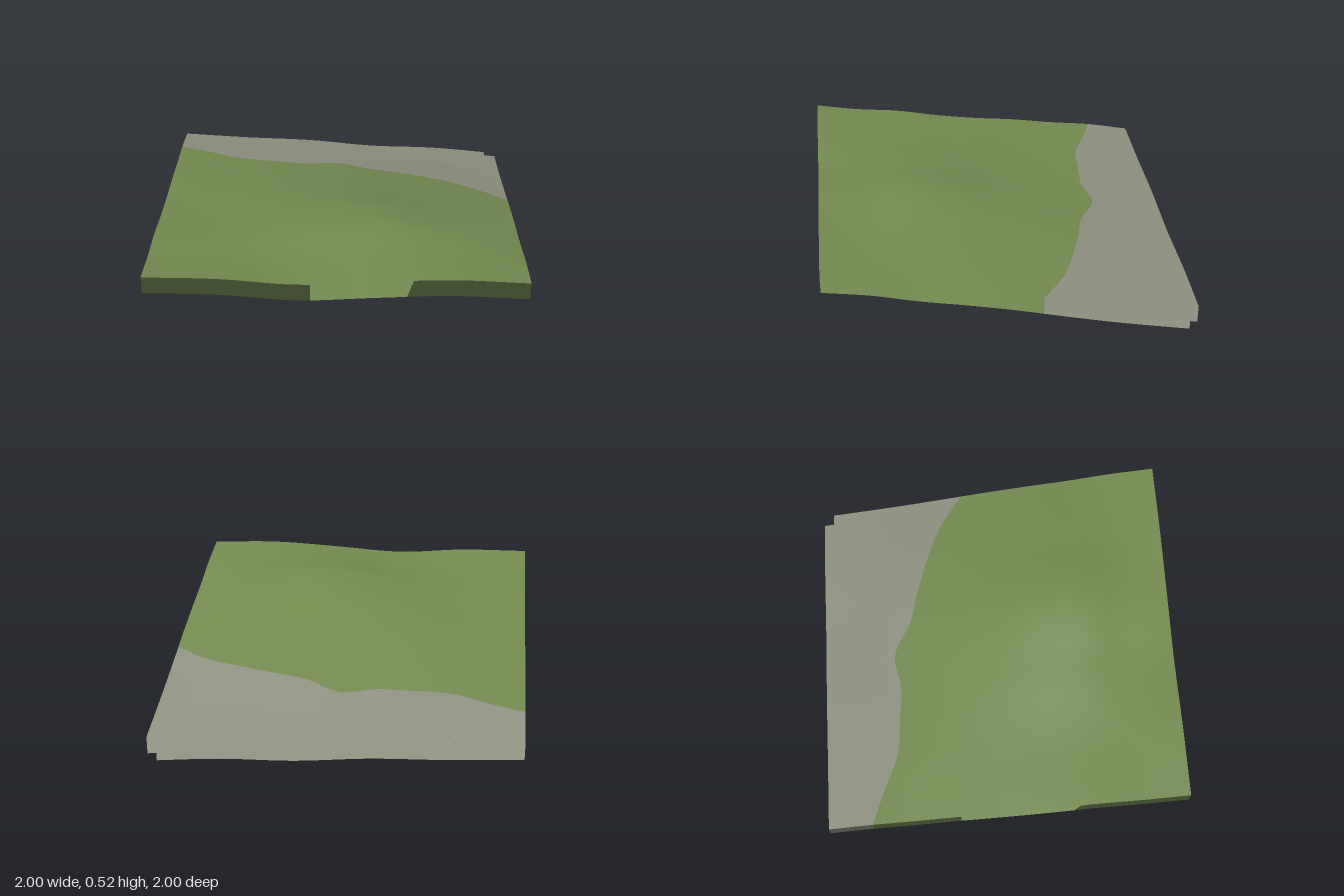
import * as THREE from 'three';

// Control heights: rows run from back (z = -1) to front (z = 1), columns from x = -1 to x = 1
const HEIGHTS = [
  [0.225, 0.200, 0.183, 0.145, 0.132, 0.095],
  [0.272, 0.250, 0.230, 0.200, 0.175, 0.140],
  [0.300, 0.295, 0.278, 0.267, 0.240, 0.188],
  [0.335, 0.335, 0.340, 0.335, 0.300, 0.243],
  [0.360, 0.375, 0.400, 0.407, 0.360, 0.300],
  [0.395, 0.405, 0.450, 0.482, 0.420, 0.350],
  [0.440, 0.435, 0.475, 0.523, 0.465, 0.395],
  [0.465, 0.460, 0.463, 0.503, 0.480, 0.450],
  [0.505, 0.498, 0.467, 0.487, 0.503, 0.487],
];
// Where rock gives way to grass: z at x = -1, -0.8 ... 1
const BORDER = [-0.75, -0.675, -0.595, -0.575, -0.56, -0.59, -0.49, -0.435, -0.37, -0.285, -0.15];
const SKIRT = 0.1;
const NOTCH_X = 0.935, NOTCH_Z = -0.94;

// Smooth interpolation through evenly spaced values, u from -1 to 1
function spline(values, u) {
  const n = values.length - 1;
  const t = THREE.MathUtils.clamp((u + 1) / 2, 0, 1) * n;
  const i = Math.min(Math.floor(t), n - 1), f = t - i;
  const b = values[i], c = values[i + 1];
  const a = i > 0 ? values[i - 1] : 2 * b - c;
  const d = i < n - 1 ? values[i + 2] : 2 * c - b;
  return b + 0.5 * f * (c - a + f * (2 * a - 5 * b + 4 * c - d + f * (3 * (b - c) + d - a)));
}

const height = (x, z) => spline(HEIGHTS.map(row => spline(row, x)), z);
const border = x => spline(BORDER, x);

function groundNormal(x, z) {
  const e = 0.02;
  const x0 = Math.max(x - e, -1), x1 = Math.min(x + e, 1);
  const z0 = Math.max(z - e, -1), z1 = Math.min(z + e, 1);
  return new THREE.Vector3(
    -(height(x1, z) - height(x0, z)) / (x1 - x0), 1,
    -(height(x, z1) - height(x, z0)) / (z1 - z0)).normalize();
}

// Grid of (columns + 1) x (rows + 1) points; point(u, v) gives [x, z, drop below ground]
function gridMesh(name, material, columns, rows, point) {
  const positions = [], normals = [], index = [];
  for (let i = 0; i <= columns; i++) {
    for (let j = 0; j <= rows; j++) {
      const [x, z, drop] = point(i / columns, j / rows);
      positions.push(x, height(x, z) - drop, z);
      normals.push(...groundNormal(x, z).toArray());
      if (i < columns && j < rows) {
        const a = i * (rows + 1) + j, b = a + 1, c = a + rows + 1, d = c + 1;
        index.push(a, b, c, b, d, c);
      }
    }
  }
  const geometry = new THREE.BufferGeometry();
  geometry.setAttribute('position', new THREE.Float32BufferAttribute(positions, 3));
  geometry.setAttribute('normal', new THREE.Float32BufferAttribute(normals, 3));
  geometry.setIndex(index);
  const mesh = new THREE.Mesh(geometry, material);
  mesh.name = name;
  return mesh;
}

export function createModel() {
  const grass = new THREE.MeshStandardMaterial({ color: 0x738a50, side: THREE.DoubleSide });
  grass.name = 'grass green';
  const rock = new THREE.MeshStandardMaterial({ color: 0x8e9080, side: THREE.DoubleSide });
  rock.name = 'rock grey';

  const group = new THREE.Group();
  group.name = 'terrainTile';
  const lerp = THREE.MathUtils.lerp;

  // Ground surface between two z limits
  const sheet = (name, material, x0, x1, back, front, columns, rows) =>
    group.add(gridMesh(name, material, columns, rows, (u, v) => {
      const x = lerp(x0, x1, u);
      return [x, lerp(back(x), front(x), v), 0];
    }));
  sheet('grassGround', grass, -1, 1, border, () => 1, 60, 48);
  sheet('rockGround', rock, -1, NOTCH_X, () => -1, border, 58, 20);
  sheet('rockCorner', rock, NOTCH_X, 1, () => NOTCH_Z, border, 2, 20);

  // Hanging edge below the ground, shaded like the ground; runs counter-clockwise seen from above
  const skirt = (name, material, x0, z0, x1, z1) => {
    const steps = Math.max(1, Math.ceil(Math.hypot(x1 - x0, z1 - z0) * 30));
    group.add(gridMesh(name, material, steps, 1, (u, v) =>
      [lerp(x0, x1, u), lerp(z0, z1, u), v * SKIRT]));
  };
  const left = border(1), right = border(-1);
  skirt('frontSkirt', grass, -1, 1, 1, 1);
  skirt('leftGrassSkirt', grass, 1, 1, 1, left);
  skirt('leftRockSkirt', rock, 1, left, 1, NOTCH_Z);
  skirt('notchSkirtA', rock, 1, NOTCH_Z, NOTCH_X, NOTCH_Z);
  skirt('notchSkirtB', rock, NOTCH_X, NOTCH_Z, NOTCH_X, -1);
  skirt('backSkirt', rock, NOTCH_X, -1, -1, -1);
  skirt('rightRockSkirt', rock, -1, -1, -1, right);
  skirt('rightGrassSkirt', grass, -1, right, -1, 1);
  return group;
}
